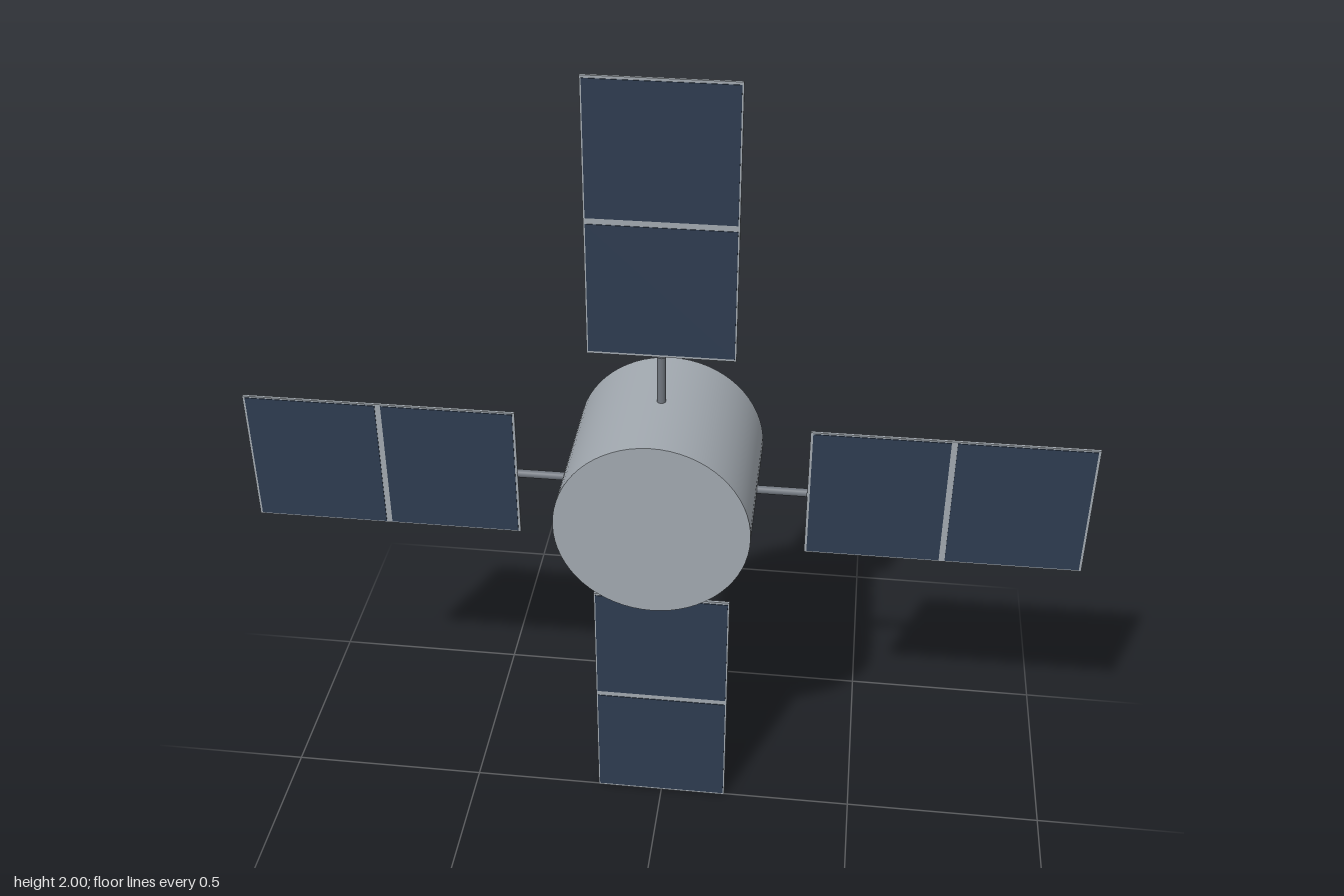
import * as THREE from 'three';

const mat = (name, color) => {
  const m = new THREE.MeshStandardMaterial({ color });
  m.name = name;
  return m;
};

export function createModel() {
  const hull = mat('hull grey', 0xa2a9b0);
  const cell = mat('solar cell blue', 0x2e3c50);
  const strut = mat('strut grey', 0x70767e);

  const model = new THREE.Group();
  model.name = 'satellite';

  const add = (parent, name, geometry, material, x, y, z) => {
    const mesh = new THREE.Mesh(geometry, material);
    mesh.name = name;
    mesh.position.set(x, y, z);
    parent.add(mesh);
    return mesh;
  };

  // Drum body, lying along z
  add(model, 'body', new THREE.CylinderGeometry(0.227, 0.227, 0.4, 64).rotateX(Math.PI / 2), hull, 0, 1, 0);

  // One wing pointing along +x: boom, backing panel and two cells on the front
  const inner = 0.345, outer = 1, width = 0.34, thick = 0.007;
  const length = outer - inner, middle = (inner + outer) / 2;
  const boomGeo = new THREE.CylinderGeometry(0.01, 0.01, 0.145, 16).rotateZ(Math.PI / 2);
  const panelGeo = new THREE.BoxGeometry(length, width, thick);
  const cellGeo = new THREE.BoxGeometry(length / 2 - 0.013, width - 0.008, 0.002);

  for (let i = 0; i < 4; i++) {
    const wing = new THREE.Group();
    wing.name = 'wing' + (i + 1);
    add(wing, 'boom', boomGeo, strut, 0.2725, 0, 0);
    add(wing, 'panel', panelGeo, hull, middle, 0, 0);
    for (const s of [-1, 1]) {
      add(wing, 'solarCell', cellGeo, cell, middle + s * (length / 4 + 0.0005), 0, thick / 2 + 0.0005);
    }
    wing.position.y = 1;
    wing.rotation.z = i * Math.PI / 2;
    model.add(wing);
  }
  return model;
}
